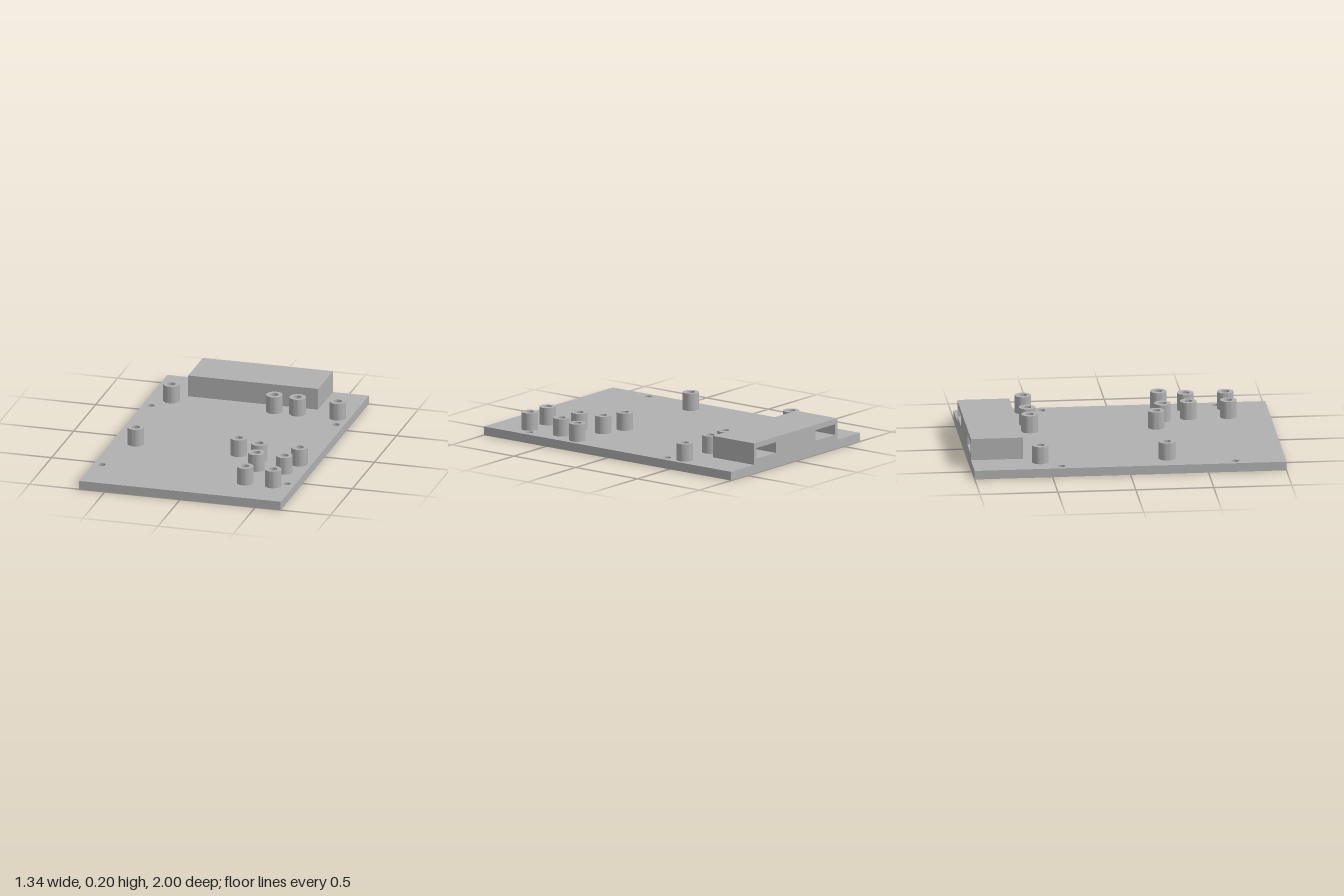
import * as THREE from 'three';
import { toCreasedNormals } from 'three/addons/utils/BufferGeometryUtils.js';

const W = 0.67, T = 0.057; // half width and thickness of the plate

function rectangle(PathType, x0, y0, x1, y1) {
  const p = new PathType();
  p.moveTo(x0, y0);
  p.lineTo(x1, y0);
  p.lineTo(x1, y1);
  p.lineTo(x0, y1);
  p.closePath();
  return p;
}

function circle(PathType, x, y, r) {
  const p = new PathType();
  p.absarc(x, y, r, 0, Math.PI * 2, false);
  return p;
}

function extrude(shape, depth) {
  const g = new THREE.ExtrudeGeometry(shape, { depth, bevelEnabled: false, curveSegments: 20 });
  return toCreasedNormals(g, 0.6);
}

export function createModel() {
  const model = new THREE.Group();
  const grey = new THREE.MeshStandardMaterial({ color: 0xb0b0b0 });
  grey.name = 'grey plastic';

  const add = (name, geometry, parent = model) => {
    const mesh = new THREE.Mesh(geometry, grey);
    mesh.name = name;
    parent.add(mesh);
    return mesh;
  };

  // Base plate with four through holes for screws
  const plate = rectangle(THREE.Shape, -W, -1, W, 1);
  for (const x of [-0.616, 0.614])
    for (const z of [-0.44, 0.675]) plate.holes.push(circle(THREE.Path, x, -z, 0.025));
  add('basePlate', extrude(plate, T).rotateX(-Math.PI / 2));

  // Hollow standoffs, open at the top down to the plate
  const ring = circle(THREE.Shape, 0, 0, 0.053);
  ring.holes.push(circle(THREE.Path, 0, 0, 0.027));
  const standoffGeometry = extrude(ring, 0.17 - T).rotateX(-Math.PI / 2);
  const standoffs = new THREE.Group();
  standoffs.name = 'standoffs';
  model.add(standoffs);
  const spots = [
    [-0.514, -0.563], [0.17, -0.563], [0.324, -0.563], [0.591, -0.563],
    [-0.514, 0.249], [0.17, 0.249], [0.324, 0.305], [0.591, 0.305],
    [0.354, 0.473], [0.54, 0.473], [0.354, 0.73], [0.54, 0.73],
  ];
  for (const [x, z] of spots) add('standoff', standoffGeometry, standoffs).position.set(x, T, z);

  // Rear block: two rectangular pockets open at the back, closed by a front wall
  const block = new THREE.Group();
  block.name = 'rearBlock';
  model.add(block);
  const top = 0.198, x0 = -0.434, x1 = 0.431, depth = 0.28, total = 0.333;
  const section = rectangle(THREE.Shape, x0, T, x1, top);
  for (const [a, b] of [[-0.411, -0.208], [0.206, 0.408]])
    section.holes.push(rectangle(THREE.Path, a, 0.093, b, 0.163));
  add('pocketedBlock', extrude(section, depth), block).position.z = -1;
  const wall = add('blockFrontWall', new THREE.BoxGeometry(x1 - x0, top - T, total - depth), block);
  wall.position.set((x0 + x1) / 2, (top + T) / 2, -1 + (depth + total) / 2);

  return model;
}
